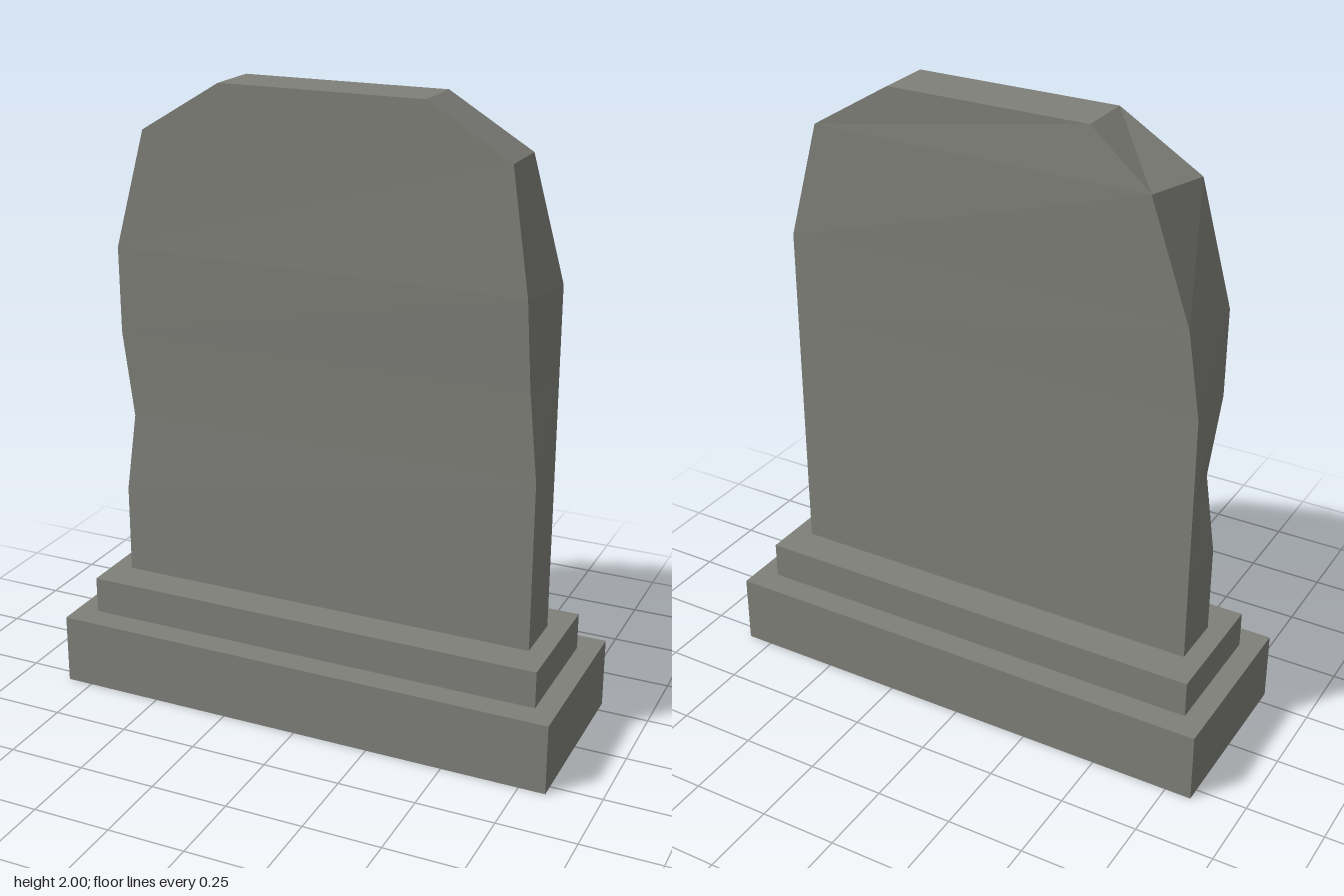
import * as THREE from 'three';

// Slab cross-sections: height, then [x, z] at front left, front right, back right, back left
// (left is the model's own, +x)
const sections = [
  [0.35, [0.70, 0.09], [-0.70, 0.09], [-0.70, -0.09], [0.70, -0.09]],
  [0.64, [0.70, 0.09], [-0.70, 0.09], [-0.70, -0.09], [0.70, -0.09]],
  [0.90, [0.70, 0.09], [-0.665, 0.085], [-0.70, -0.09], [0.70, -0.09]],
  [1.18, [0.67, 0.087], [-0.70, 0.087], [-0.70, -0.09], [0.70, -0.09]],
  [1.46, [0.655, 0.098], [-0.70, 0.09], [-0.66, -0.098], [0.70, -0.09]],
  [1.84, [0.595, 0.09], [-0.595, 0.09], [-0.53, -0.106], [0.595, -0.09]],
  [2.00, [0.33, 0.09], [-0.33, 0.09], [-0.33, -0.09], [0.33, -0.09]],
];

// Joins the sections with flat quads and closes both ends
function loftSlab() {
  const rings = sections.map(([y, ...pts]) => pts.map(([x, z]) => [x, y, z]));
  const positions = [];
  const quad = (a, b, c, d) => [a, b, c, a, c, d].forEach((p) => positions.push(...p));
  for (let i = 0; i < rings.length - 1; i++) {
    const lo = rings[i], hi = rings[i + 1];
    for (let k = 0; k < 4; k++) {
      const n = (k + 1) % 4;
      quad(lo[n], lo[k], hi[k], hi[n]);
    }
  }
  const top = rings[rings.length - 1], bottom = rings[0];
  quad(top[0], top[3], top[2], top[1]);
  quad(...bottom);
  const geometry = new THREE.BufferGeometry();
  geometry.setAttribute('position', new THREE.Float32BufferAttribute(positions, 3));
  geometry.computeVertexNormals();
  return geometry;
}

export function createModel() {
  const stone = new THREE.MeshStandardMaterial({ color: 0x80807a, flatShading: true });
  stone.name = 'weathered grey stone';
  const group = new THREE.Group();
  group.name = 'headstone';

  const add = (name, geometry, y = 0) => {
    const mesh = new THREE.Mesh(geometry, stone);
    mesh.name = name;
    mesh.position.y = y;
    group.add(mesh);
  };

  // Two-step plinth
  add('plinthBase', new THREE.BoxGeometry(1.67, 0.23, 0.59), 0.115);
  add('plinthStep', new THREE.BoxGeometry(1.53, 0.12, 0.42), 0.29);

  // Chipped upright slab
  add('slab', loftSlab());
  return group;
}
